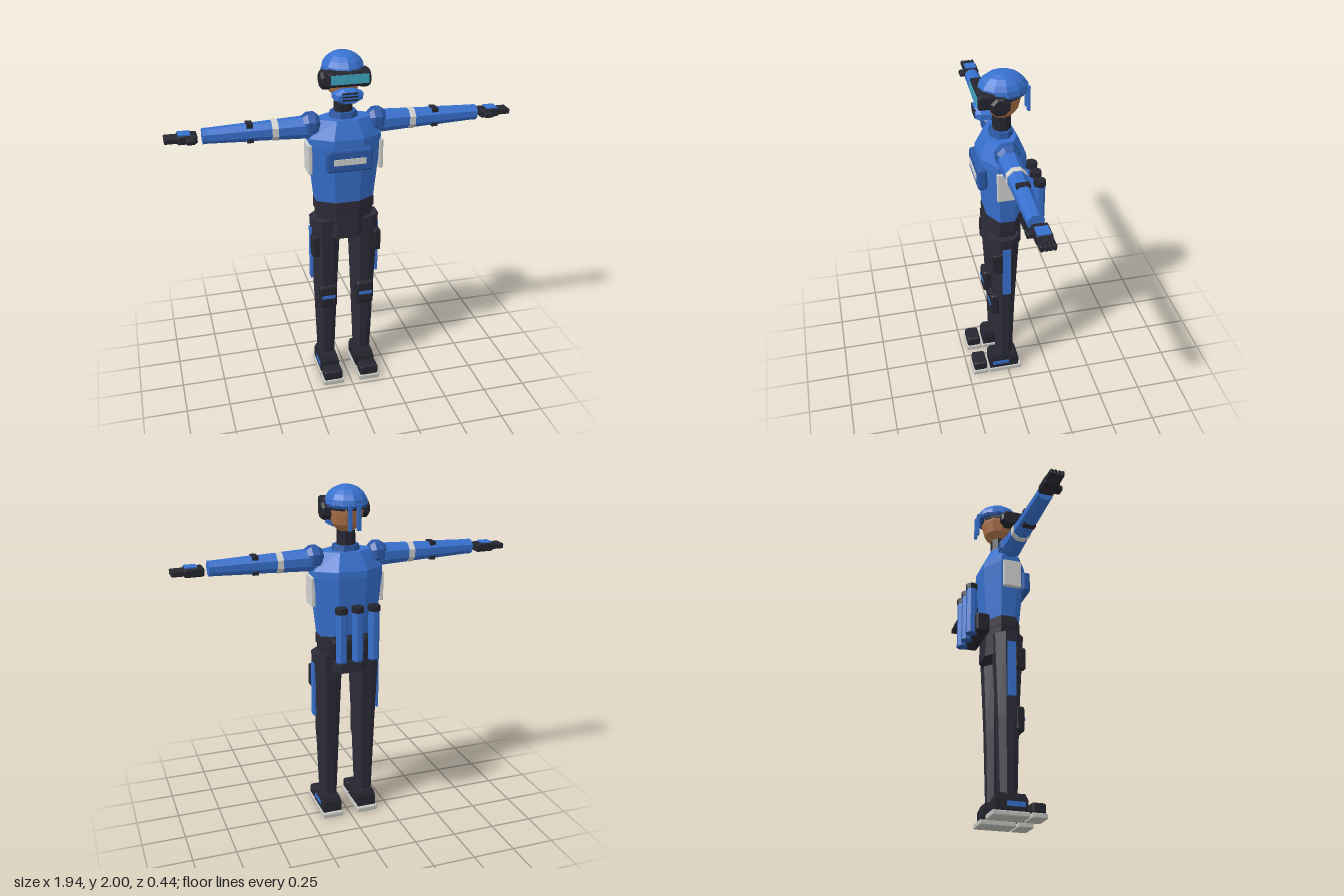
import * as THREE from 'three';
import { RoundedBoxGeometry } from 'three/addons/geometries/RoundedBoxGeometry.js';

const mat = (name, color) => {
  const m = new THREE.MeshStandardMaterial({ color, flatShading: true });
  m.name = name;
  return m;
};

// Closed stack of n-sided rings along y; each ring is [y, halfX, halfZ, centreX, centreZ]
function loft(rings, n = 8) {
  const pos = [], idx = [], k = 1 / Math.cos(Math.PI / n);
  for (const [y, hx, hz, cx = 0, cz = 0] of rings)
    for (let i = 0; i < n; i++) {
      const a = ((i + 0.5) / n) * Math.PI * 2;
      pos.push(cx + Math.sin(a) * hx * k, y, cz + Math.cos(a) * hz * k);
    }
  const top = (rings.length - 1) * n;
  for (let r = 0; r < top; r += n)
    for (let i = 0; i < n; i++) {
      const j = (i + 1) % n;
      idx.push(r + i, r + j, r + n + j, r + i, r + n + j, r + n + i);
    }
  for (let i = 1; i < n - 1; i++) idx.push(0, i + 1, i, top, top + i, top + i + 1);
  const g = new THREE.BufferGeometry();
  g.setAttribute('position', new THREE.Float32BufferAttribute(pos, 3));
  g.setIndex(idx);
  g.computeVertexNormals();
  return g;
}

export function createModel() {
  const root = new THREE.Group();
  root.name = 'armouredFigure';
  const blue = mat('blue', 0x3871cf), navy = mat('deepBlue', 0x2b59a8);
  const cloth = mat('charcoalCloth', 0x2d2c39), black = mat('blackGear', 0x25262f);
  const white = mat('paleGrey', 0xd2d2d0), sole = mat('soleGrey', 0xc4c4c0);
  const cyan = mat('cyanLens', 0x3fa8c2), skin = mat('skin', 0xb0744a);

  const add = (name, geo, m) => {
    const mesh = new THREE.Mesh(geo, m);
    mesh.name = name;
    root.add(mesh);
    return mesh;
  };
  // Box given by its limits, with an optional chamfer
  const box = (name, m, x0, x1, y0, y1, z0, z1, bevel = 0) => {
    const w = Math.abs(x1 - x0), h = y1 - y0, d = z1 - z0;
    const g = bevel ? new RoundedBoxGeometry(w, h, d, 1, bevel) : new THREE.BoxGeometry(w, h, d);
    g.translate((x0 + x1) / 2, (y0 + y1) / 2, (z0 + z1) / 2);
    return add(name, g, m);
  };

  // Body
  add('torso', loft([[1.15, 0.165, 0.098, 0, 0.008], [1.5, 0.2, 0.127, 0, 0.012],
    [1.54, 0.2, 0.125, 0, 0.013], [1.64, 0.14, 0.08, 0, 0.016]]), blue);
  add('pelvis', loft([[0.94, 0.14, 0.108, 0, 0.012], [1.1, 0.163, 0.1, 0, 0.01]]), cloth);
  add('belt', loft([[1.1, 0.168, 0.102, 0, 0.01], [1.16, 0.168, 0.102, 0, 0.01]]), cloth);
  add('collar', loft([[1.62, 0.08, 0.066, 0, 0.012], [1.672, 0.07, 0.058, 0, 0.01]]), navy);
  add('neck', loft([[1.64, 0.05, 0.048, 0, 0.005], [1.78, 0.047, 0.045, 0, 0.005]]), black);
  box('chestPanel', navy, -0.13, 0.13, 1.365, 1.495, 0.11, 0.163, 0.014);
  box('chestStrip', white, -0.09, 0.09, 1.41, 1.445, 0.16, 0.168);

  // Back rack with canisters
  box('canisterRack', black, -0.14, 0.14, 1.055, 1.175, -0.175, -0.09, 0.015);
  for (const x of [-0.095, 0, 0.095]) {
    const c = (y0, y1, r) => loft([[y0, r, r, x, -0.19], [y1, r, r, x, -0.19]]);
    add('canister', c(1.055, 1.335, 0.029), blue);
    add('canisterBase', c(1.05, 1.058, 0.03), navy);
    add('canisterCap', c(1.333, 1.365, 0.032), black);
  }

  // Head
  add('head', loft([[1.75, 0.045, 0.045, 0, 0.005], [1.79, 0.078, 0.078],
    [1.86, 0.093, 0.095], [1.92, 0.096, 0.1]], 10), skin);
  const dome = new THREE.SphereGeometry(1, 12, 5, 0, Math.PI * 2, 0, Math.PI / 2);
  dome.scale(0.118, 0.1, 0.136).translate(0, 1.9, 0);
  add('helmet', dome, blue);
  add('helmetRim', loft([[1.886, 0.11, 0.125], [1.903, 0.115, 0.131]], 12), navy);
  add('headBand', loft([[1.87, 0.104, 0.108, 0, 0.012], [1.9, 0.108, 0.112, 0, 0.012]], 12), black);
  box('goggleFrame', black, -0.116, 0.116, 1.842, 1.922, 0.06, 0.152, 0.012);
  box('goggleLens', cyan, -0.103, 0.103, 1.86, 1.91, 0.148, 0.156);
  add('mask', loft([[-0.025, 0.082, 0.032], [0.025, 0.078, 0.041], [0.05, 0.062, 0.03]])
    .rotateX(Math.PI / 2).translate(0, 1.785, 0.105), blue);
  for (const y of [1.772, 1.79, 1.808]) box('maskSlit', black, -0.043, 0.043, y - 0.004, y + 0.004, 0.15, 0.158);
  for (const x of [-0.025, 0.025]) box('neckStrap', blue, x - 0.011, x + 0.011, 1.77, 1.91, -0.142, -0.128);

  // Paired parts
  for (const s of [1, -1]) {
    const side = s > 0 ? 'left' : 'right';
    const b = (name, m, x0, x1, ...rest) => box(side + name, m, s * x0, s * x1, ...rest);
    // Parts lofted outward along the arm
    const limb = (name, m, rings) =>
      add(side + name, loft(rings).rotateZ(-s * Math.PI / 2).translate(0, 1.595, 0.015), m);

    const ear = loft([[0.085, 0.05, 0.052], [0.125, 0.05, 0.052], [0.137, 0.038, 0.04]]);
    add(side + 'EarCup', ear.rotateZ(-s * Math.PI / 2).translate(0, 1.86, 0.037), black);

    // Arm
    limb('Shoulder', navy, [[0.14, 0.045, 0.045, -s * 0.013], [0.165, 0.064, 0.064, -s * 0.013],
      [0.205, 0.064, 0.064, -s * 0.013], [0.235, 0.045, 0.045, -s * 0.013]]);
    limb('UpperArm', blue, [[0.18, 0.06, 0.058], [0.52, 0.046, 0.045]]);
    limb('ArmBand', white, [[0.368, 0.055, 0.054], [0.402, 0.054, 0.053]]);
    b('ElbowPad', black, 0.503, 0.537, 1.543, 1.647, -0.02, 0.05);
    limb('Forearm', blue, [[0.52, 0.048, 0.046], [0.745, 0.039, 0.041], [0.772, 0.04, 0.042]]);

    // Glove
    b('Palm', black, 0.797, 0.905, 1.565, 1.614, -0.035, 0.05, 0.01);
    b('HandPlate', blue, 0.833, 0.898, 1.612, 1.62, -0.025, 0.042);
    for (let i = 0; i < 4; i++) {
      const z = -0.033 + i * 0.0205;
      b('Finger', black, 0.895, 0.972, 1.575, 1.606, z, z + 0.0195, 0.006);
    }
    b('Thumb', black, 0.81, 0.86, 1.572, 1.602, 0.042, 0.082, 0.008);

    // Side plate
    b('SidePlate', white, 0.19, 0.214, 1.335, 1.505, -0.032, 0.075, 0.004);

    // Leg
    add(side + 'Leg', loft([[0.1, 0.048, 0.048, s * 0.113, 0.018],
      [0.55, 0.064, 0.06, s * 0.112, 0.018], [1.05, 0.084, 0.084, s * 0.112, 0.02]]), cloth);
    b('ThighPouch', black, 0.16, 0.203, 0.825, 0.955, 0.035, 0.1, 0.01);
    b('ThighStripe', blue, 0.188, 0.202, 0.66, 0.985, -0.005, 0.042);
    b('KneePad', black, 0.06, 0.163, 0.475, 0.62, 0.05, 0.105, 0.014);
    b('KneeStripe', blue, 0.072, 0.151, 0.54, 0.56, 0.1, 0.109);

    // Boot with separate toe piece
    add(side + 'Boot', loft([[0.03, 0.056, 0.09, s * 0.111, 0.025], [0.092, 0.056, 0.09, s * 0.111, 0.025],
      [0.126, 0.048, 0.075, s * 0.111, 0.025]], 4), black);
    b('BootStripe', blue, 0.16, 0.17, 0.055, 0.082, -0.005, 0.1);
    b('Toe', black, 0.055, 0.167, 0.025, 0.087, 0.135, 0.216, 0.012);
    b('HeelSole', sole, 0.048, 0.174, 0, 0.03, -0.085, 0.122, 0.006);
    b('ToeSole', sole, 0.048, 0.174, 0, 0.03, 0.132, 0.222, 0.006);
  }
  return root;
}
